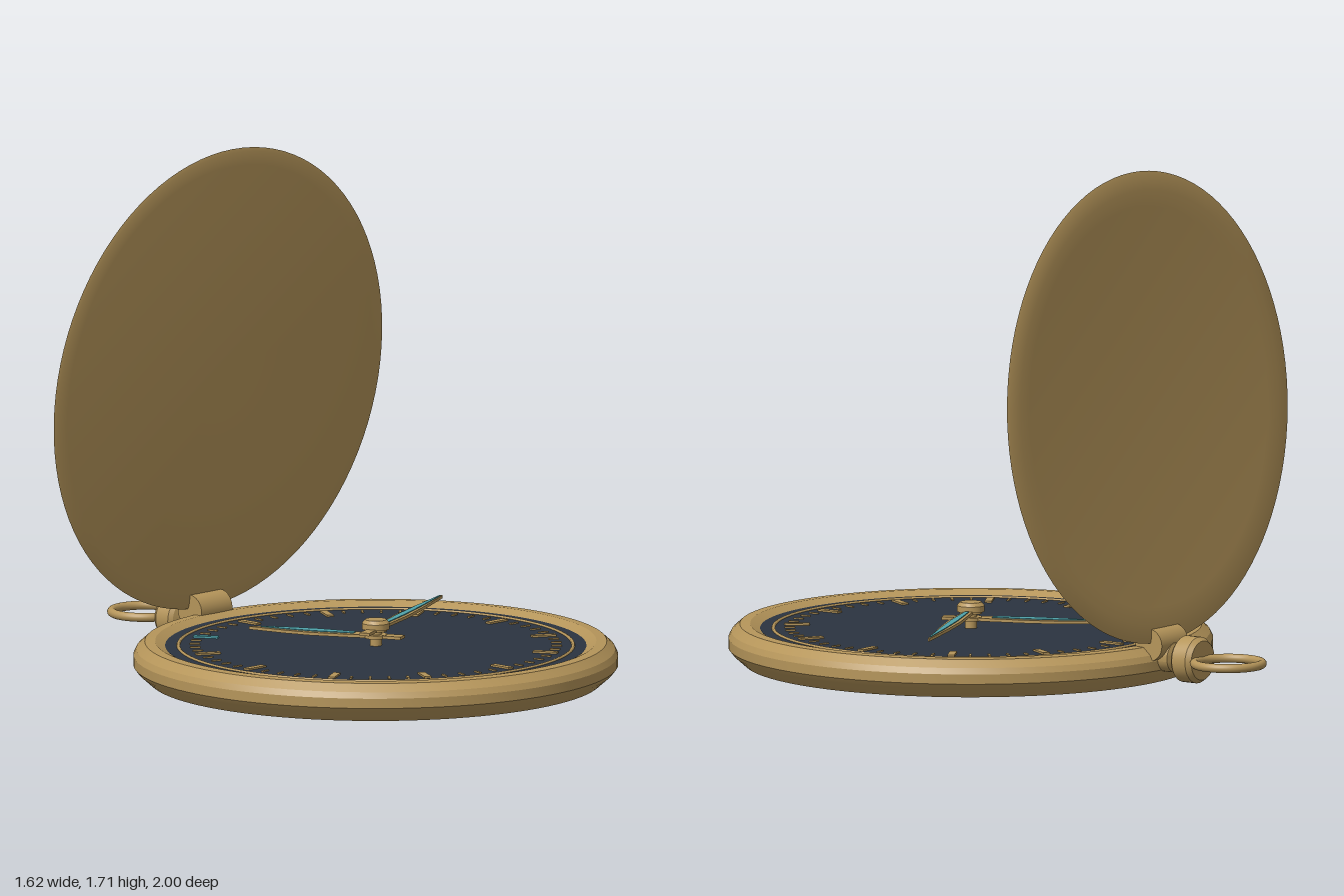
import * as THREE from 'three';
import { toCreasedNormals } from 'three/addons/utils/BufferGeometryUtils.js';

const gold = new THREE.MeshStandardMaterial({ color: 0xb5955a });
gold.name = 'antique gold';
const navy = new THREE.MeshStandardMaterial({ color: 0x2b3440 });
navy.name = 'dark navy';
const teal = new THREE.MeshStandardMaterial({ color: 0x4fa3ab });
teal.name = 'teal inlay';

const DIAL_TOP = 0.116;

function add(parent, name, geometry, material, x = 0, y = 0, z = 0) {
  const mesh = new THREE.Mesh(geometry, material);
  mesh.name = name;
  mesh.position.set(x, y, z);
  parent.add(mesh);
  return mesh;
}

// Turned part; the profile runs up the outside as [radius, height]
function turned(profile, segments = 96) {
  const points = profile.map(([r, y]) => new THREE.Vector2(r, y));
  return toCreasedNormals(new THREE.LatheGeometry(points, segments), 0.3);
}

// Flat plate from a half outline [halfWidth, distance], pointing to -z
function plate(half, thickness) {
  const left = half.map(([w, d]) => [-w, d]).reverse();
  const shape = new THREE.Shape([...half, ...left].map(([x, y]) => new THREE.Vector2(x, y)));
  const geometry = new THREE.ExtrudeGeometry(shape, { depth: thickness, bevelEnabled: false });
  return geometry.rotateX(-Math.PI / 2);
}

function makeHand(name, y, angle, outline, inlay) {
  const hand = new THREE.Group();
  hand.name = name;
  add(hand, name + 'Blade', plate(outline, 0.01), gold);
  add(hand, name + 'Inlay', plate(inlay, 0.003), teal, 0, 0.0105, 0);
  add(hand, name + 'Hub', new THREE.CylinderGeometry(0.038, 0.038, 0.012, 32), gold, 0, 0.005, 0);
  hand.position.y = y;
  hand.rotation.y = angle;
  return hand;
}

function makeWatchBody() {
  const body = new THREE.Group();
  body.name = 'watchBody';

  // Open-backed case ring
  add(body, 'caseRing', turned([
    [0.675, 0], [0.755, 0], [0.795, 0.035], [0.808, 0.052], [0.808, 0.085],
    [0.798, 0.105], [0.77, 0.13], [0.735, 0.132], [0.705, 0.117],
    [0.675, 0.1], [0.675, 0],
  ]), gold);

  // Dial with its circle and hour and minute marks
  add(body, 'dial', new THREE.CylinderGeometry(0.702, 0.69, 0.016, 96), navy, 0, DIAL_TOP - 0.008, 0);
  const circle = new THREE.TorusGeometry(0.658, 0.006, 8, 96).rotateX(Math.PI / 2);
  add(body, 'dialCircle', circle, gold, 0, DIAL_TOP, 0);
  const hourMark = new THREE.BoxGeometry(0.024, 0.008, 0.084);
  const minuteMark = new THREE.BoxGeometry(0.008, 0.005, 0.034);
  for (let i = 0; i < 60; i++) {
    const isHour = i % 5 === 0;
    const angle = (i / 60) * Math.PI * 2;
    const r = isHour ? 0.582 : 0.603;
    const mark = add(body, isHour ? 'hourMark' : 'minuteMark', isHour ? hourMark : minuteMark,
      i === 55 ? teal : gold, Math.sin(angle) * r, DIAL_TOP + 0.002, -Math.cos(angle) * r);
    mark.rotation.y = -angle;
  }

  // Hands, post and cap
  body.add(makeHand('hourHand', 0.143, 0.425,
    [[0.022, -0.095], [0.02, 0], [0.03, 0.08], [0.039, 0.22], [0.03, 0.31], [0.004, 0.447]],
    [[0.012, 0.075], [0.022, 0.21], [0.017, 0.3], [0.003, 0.405]]));
  body.add(makeHand('minuteHand', 0.166, -1.165,
    [[0.018, -0.108], [0.014, 0], [0.018, 0.1], [0.023, 0.25], [0.017, 0.42], [0.003, 0.628]],
    [[0.007, 0.06], [0.012, 0.25], [0.009, 0.42], [0.002, 0.61]]));
  add(body, 'handPost', new THREE.CylinderGeometry(0.02, 0.02, 0.07, 24), gold, 0, 0.145, 0);
  add(body, 'handCap', turned([
    [0, 0.172], [0.046, 0.172], [0.046, 0.192], [0.036, 0.204], [0, 0.204],
  ], 32), gold);

  body.position.z = 0.19;
  return body;
}

export function createModel() {
  const model = new THREE.Group();
  model.name = 'pocketWatch';
  model.add(makeWatchBody());

  // Open lid, leaning slightly forward; profile height points to the front
  const lid = add(model, 'lid', turned([
    [0, -0.006], [0.67, -0.006], [0.725, -0.01], [0.775, -0.004],
    [0.788, 0], [0.775, 0.004], [0.73, 0.007], [0, 0.007],
  ]), gold, 0, 0.927, -0.538);
  lid.rotation.x = Math.PI / 2 + 0.086;

  // Hinge barrel
  const barrel = new THREE.CylinderGeometry(0.055, 0.055, 0.148, 32).rotateZ(Math.PI / 2);
  add(model, 'hinge', barrel, gold, 0, 0.14, -0.597);

  // Neck and crown, turned about z
  const crown = add(model, 'crown', turned([
    [0, 0], [0.05, 0], [0.05, 0.06], [0.035, 0.066], [0.035, 0.078], [0.066, 0.088],
    [0.078, 0.1], [0.078, 0.155], [0.066, 0.172], [0, 0.172],
  ], 32), gold, 0, 0.094, -0.595);
  crown.rotation.x = -Math.PI / 2;

  // Flat carrying ring
  const ring = new THREE.TorusGeometry(0.113, 0.015, 16, 64).rotateX(Math.PI / 2);
  add(model, 'carryingRing', ring, gold, 0, 0.094, -0.872);

  return model;
}
